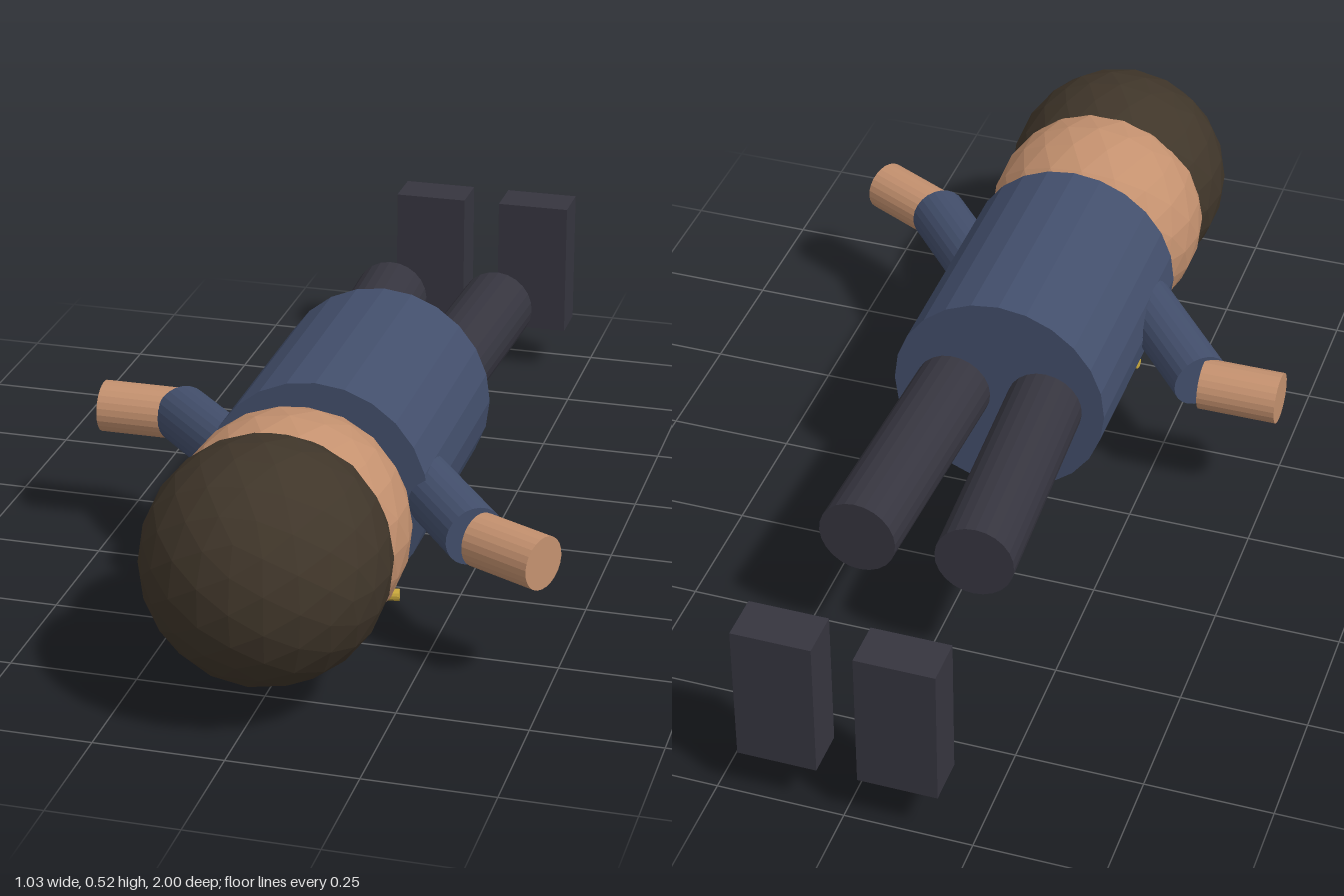
import * as THREE from 'three';

const paint = (name, color) => {
  const m = new THREE.MeshStandardMaterial({ color, flatShading: true });
  m.name = name;
  return m;
};

export function createModel() {
  const group = new THREE.Group();
  const skin = paint('skin', 0xc4916f);
  const hair = paint('hair brown', 0x40362a);
  const cloth = paint('jacket blue', 0x434f6c);
  const dark = paint('trouser charcoal', 0x36353f);
  const gold = paint('gold', 0xc9a83c);
  const lip = paint('lip', 0xa0624c);

  const add = (name, geometry, material, x = 0, y = 0, z = 0) => {
    const mesh = new THREE.Mesh(geometry, material);
    mesh.name = name;
    mesh.position.set(x, y, z);
    group.add(mesh);
    return mesh;
  };
  // Cylinder running between two points
  const rod = (name, a, b, radius, material, sides = 24) => {
    const from = new THREE.Vector3(...a), to = new THREE.Vector3(...b);
    const dir = to.clone().sub(from);
    const mesh = add(name, new THREE.CylinderGeometry(radius, radius, dir.length(), sides), material);
    mesh.position.copy(from).add(to).multiplyScalar(0.5);
    mesh.quaternion.setFromUnitVectors(new THREE.Vector3(0, 1, 0), dir.normalize());
    return mesh;
  };
  const ball = (name, radius, detail, material, x, y, z) =>
    add(name, new THREE.IcosahedronGeometry(radius, detail), material, x, y, z);

  const cx = 0.011; // body midline

  // Body lies face down, head towards +z
  rod('torso', [cx, 0.285, -0.06], [cx, 0.285, 0.44], 0.22, cloth);
  ball('head', 0.226, 3, skin, cx, 0.285, 0.61);
  ball('hair', 0.232, 3, hair, cx, 0.293, 0.768);

  // Arms
  rod('leftUpperArm', [0.19, 0.287, 0.345], [0.342, 0.272, 0.532], 0.059, cloth);
  rod('leftForearm', [0.353, 0.27, 0.538], [0.489, 0.27, 0.606], 0.052, skin);
  rod('rightUpperArm', [-0.176, 0.287, 0.338], [-0.354, 0.272, 0.135], 0.059, cloth);
  rod('rightForearm', [-0.36, 0.27, 0.13], [-0.52, 0.27, 0.13], 0.052, skin);

  for (const s of [-1, 1]) {
    const side = s > 0 ? 'left' : 'right';
    // Legs, splayed a little, and detached upright feet
    rod(side + 'Leg', [cx + s * 0.095, 0.286, -0.04], [cx + s * 0.117, 0.286, -0.56], 0.078, dark);
    add(side + 'Foot', new THREE.BoxGeometry(0.155, 0.29, 0.093), dark, cx + s * 0.117, 0.245, -0.953);
    // Eyes and the two arms of the collar clasp
    ball(side + 'Eye', 0.028, 2, dark, cx + s * 0.08, 0.069, 0.645);
    rod(side + 'CollarBar', [cx, 0.07, 0.435], [cx + s * 0.157, 0.07, 0.412], 0.012, gold, 12);
  }

  // Mouth, clasp and pendant on the underside
  add('mouth', new THREE.BoxGeometry(0.07, 0.016, 0.016), lip, cx, 0.068, 0.555);
  ball('claspKnot', 0.032, 2, gold, cx, 0.068, 0.428);
  ball('pendant', 0.046, 2, gold, cx, 0.048, 0.22);

  return group;
}
